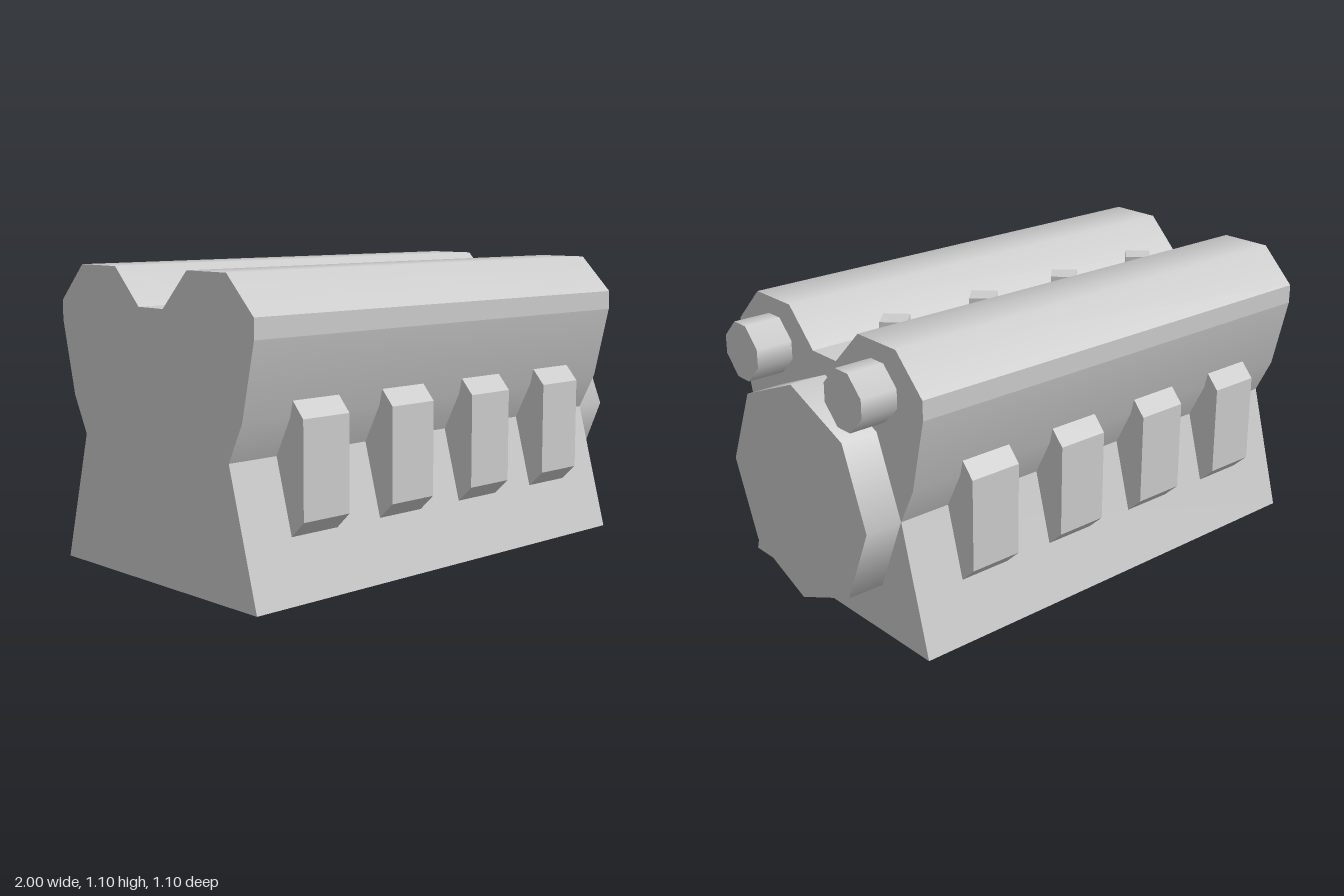
import * as THREE from 'three';
import { mergeGeometries } from 'three/addons/utils/BufferGeometryUtils.js';

const mirror = (pts) => pts.map(([u, v]) => [-u, v]).reverse();
// Every edge of an outline as its own chain: hard corners all round
const sharp = (pts) => pts.map((p, i) => [p, pts[(i + 1) % pts.length]]);

// One run of wall, smooth within the chain; a chain ending where it starts is smooth all round
function wall(chain, x0, x1) {
  const n = chain.length;
  const closed = chain[0][0] === chain[n - 1][0] && chain[0][1] === chain[n - 1][1];
  const edges = sharp(chain).slice(0, n - 1).map(([a, b]) =>
    new THREE.Vector2(b[1] - a[1], a[0] - b[0]).normalize());
  const pos = [], nor = [], idx = [];
  chain.forEach(([u, v], i) => {
    const before = edges[i - 1] ?? (closed ? edges[n - 2] : edges[0]);
    const after = edges[i] ?? (closed ? edges[0] : edges[n - 2]);
    const m = before.clone().add(after).normalize();
    pos.push(u, v, x0, u, v, x1);
    nor.push(m.x, m.y, 0, m.x, m.y, 0);
    if (i < n - 1) {
      const a = 2 * i;
      idx.push(a, a + 2, a + 3, a, a + 3, a + 1);
    }
  });
  const g = new THREE.BufferGeometry();
  g.setAttribute('position', new THREE.Float32BufferAttribute(pos, 3));
  g.setAttribute('normal', new THREE.Float32BufferAttribute(nor, 3));
  g.setIndex(idx);
  return g;
}

function cap(pts) {
  const g = new THREE.ShapeGeometry(new THREE.Shape(pts.map(([u, v]) => new THREE.Vector2(u, v))));
  g.deleteAttribute('uv');
  return g;
}

// Solid running along x, its anticlockwise outline given as chains
function prism(chains, x0, x1) {
  const outline = chains.flatMap((c) => c.slice(0, -1));
  const g = mergeGeometries([
    ...chains.map((c) => wall(c, x0, x1)),
    cap(outline).translate(0, 0, x1),
    cap(mirror(outline)).rotateY(Math.PI).translate(0, 0, x0),
  ]);
  return g.rotateY(Math.PI / 2);
}

export function createModel() {
  const group = new THREE.Group();
  const material = new THREE.MeshStandardMaterial({ color: 0xcccccc });
  const flat = new THREE.MeshStandardMaterial({ color: 0xcccccc, flatShading: true });
  const add = (name, geometry, mat = material) => {
    const mesh = new THREE.Mesh(geometry, mat);
    mesh.name = name;
    group.add(mesh);
    return mesh;
  };
  const END = 0.857;

  // Engine block: flared skirt, waist and two rounded cam covers around a valley
  const side = [
    [[0.55, 0], [0.415, 0.483]],
    [[0.415, 0.483], [0.485, 0.62], [0.55, 0.895]],
    [[0.55, 0.895], [0.55, 0.967]],
    [[0.55, 0.967], [0.414, 1.102], [0.206, 1.102], [0.07, 0.967]],
  ];
  add('engineBlock', prism([
    ...side,
    [[0.07, 0.967], [-0.07, 0.967]],
    ...side.map(mirror).reverse(),
    [[-0.55, 0], [0.55, 0]],
  ], -1, END));

  // Crank pulley
  const ring = [];
  for (let i = 0; i < 8; i++) {
    const a = (i * Math.PI) / 4;
    ring.push([0.414 * Math.cos(a), 0.483 + 0.414 * Math.sin(a)]);
  }
  add('crankPulley', prism([[...ring, ring[0]]], END, 1));

  // Cam pulleys: chamfered squares
  const s = 0.035, r = 0.104;
  const octagon = [[r, -s], [r, s], [s, r], [-s, r], [-r, s], [-r, -s], [-s, -r], [s, -r], [r, -s]];
  for (const sign of [1, -1]) {
    const pulley = add(sign > 0 ? 'frontCamPulley' : 'backCamPulley', prism([octagon], END, 1));
    pulley.position.set(0, 0.932, sign * 0.31);
  }

  // Four cylinders: a port on each side and a plug in the valley
  const port = [[0.4, 0.483], [0.488, 0.217], [0.55, 0.276], [0.55, 0.622], [0.498, 0.68]];
  for (let i = 0; i < 4; i++) {
    const x = -0.692 + i * 0.414;
    add(`backPort${i + 1}`, prism(sharp(port), x - 0.104, x + 0.104));
    add(`frontPort${i + 1}`, prism(sharp(mirror(port)), x - 0.104, x + 0.104));
    const plug = add(`plug${i + 1}`, new THREE.CylinderGeometry(0.07, 0.07, 0.07, 4), flat);
    plug.position.set(x, 1.001, 0);
  }
  return group;
}
